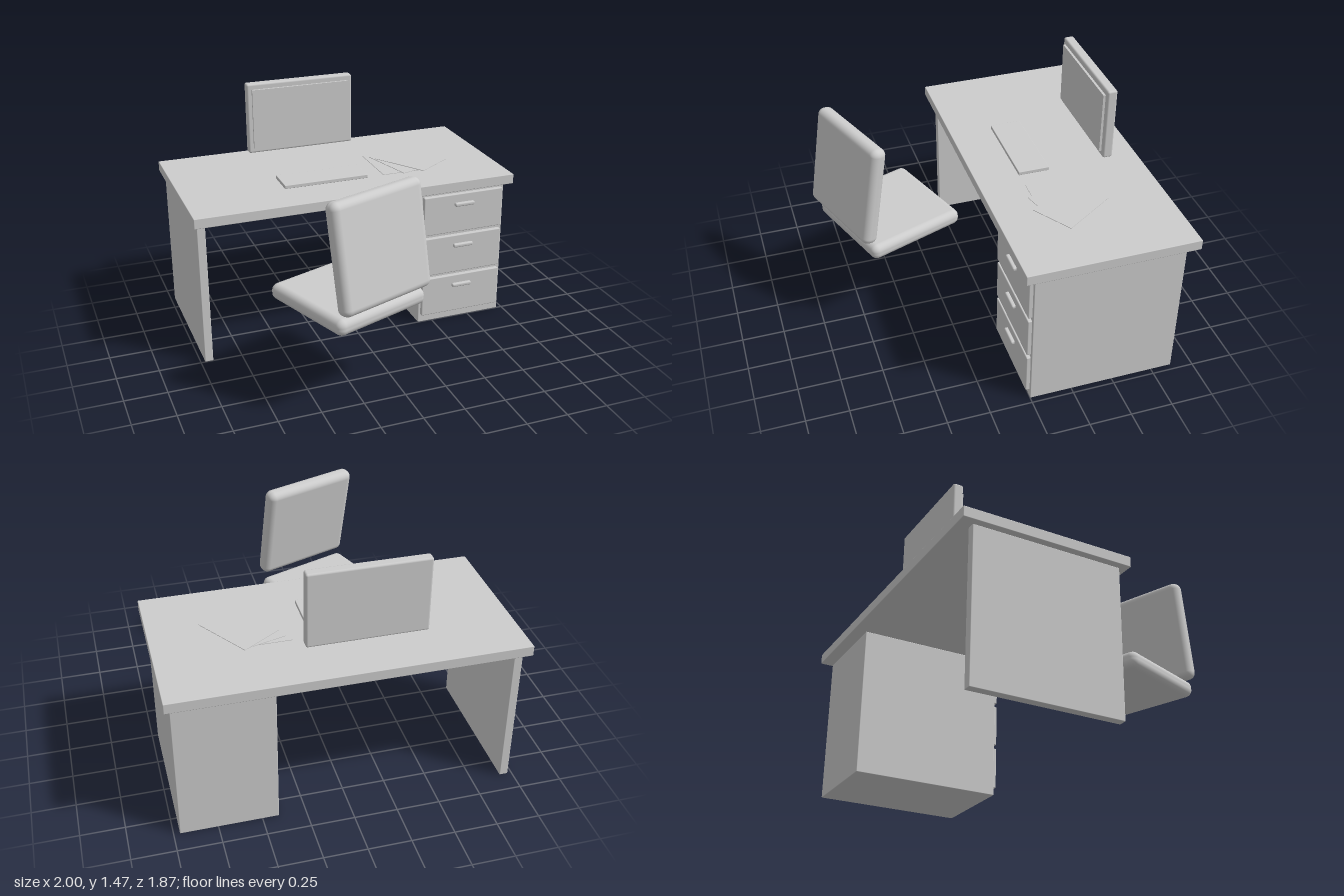
import * as THREE from 'three';
import { RoundedBoxGeometry } from 'three/addons/geometries/RoundedBoxGeometry.js';

export function createModel() {
  const model = new THREE.Group();
  model.name = 'deskSet';
  const grey = new THREE.MeshStandardMaterial({ color: 0xcccccc });
  grey.name = 'plain grey';

  // Box given by its minimum and maximum on each axis; r rounds the edges.
  function slab(name, [x0, x1], [y0, y1], [z0, z1], r = 0, parent = model) {
    const size = [x1 - x0, y1 - y0, z1 - z0];
    const geometry = r ? new RoundedBoxGeometry(...size, 3, r) : new THREE.BoxGeometry(...size);
    const mesh = new THREE.Mesh(geometry, grey);
    mesh.name = name;
    mesh.position.set((x0 + x1) / 2, (y0 + y1) / 2, (z0 + z1) / 2);
    parent.add(mesh);
    return mesh;
  }

  // Desk
  const desk = new THREE.Group();
  desk.name = 'desk';
  model.add(desk);
  slab('deskTop', [-1, 1], [0.888, 0.95], [-0.942, 0.059], 0.004, desk);
  slab('sidePanel', [-0.975, -0.925], [0, 0.878], [-0.876, 0], 0.004, desk);
  slab('cabinet', [0.405, 0.965], [0, 0.878], [-0.876, 0], 0.004, desk);
  for (let i = 0; i < 3; i++) {
    const y = 0.053 + i * 0.275;
    slab('drawerFront', [0.42, 0.948], [y, y + 0.252], [-0.01, 0.024], 0.006, desk);
    slab('drawerHandle', [0.62, 0.75], [y + 0.175, y + 0.199], [0.02, 0.046], 0.009, desk);
  }

  // Monitor
  const monitor = new THREE.Group();
  monitor.name = 'monitor';
  model.add(monitor);
  slab('monitorCase', [-0.47, 0.214], [1.02, 1.465], [-0.747, -0.687], 0.012, monitor);
  slab('screen', [-0.44, 0.184], [1.054, 1.43], [-0.7, -0.673], 0, monitor);

  // Keyboard
  slab('keyboard', [-0.39, 0.137], [0.95, 0.972], [-0.385, -0.198], 0.003);

  // Fanned sheets of paper
  [[0.37, 0], [0.442, 15.5], [0.5, 33]].forEach(([x, turn], i) => {
    const y = 0.954 + i * 0.004;
    const sheet = slab('paperSheet', [x - 0.13, x + 0.13], [y, y + 0.003], [-0.56, -0.199]);
    sheet.rotation.y = THREE.MathUtils.degToRad(turn);
  });

  // Chair cushions, turned towards the desk
  function cushion(name, size, position, tilt) {
    const mesh = new THREE.Mesh(new RoundedBoxGeometry(...size, 6, 0.042), grey);
    mesh.name = name;
    mesh.position.set(...position);
    mesh.rotation.set(THREE.MathUtils.degToRad(tilt), THREE.MathUtils.degToRad(20), 0, 'YXZ');
    model.add(mesh);
  }
  cushion('chairSeat', [0.622, 0.097, 0.622], [-0.253, 0.567, 0.497], 0);
  cushion('chairBack', [0.618, 0.618, 0.097], [-0.165, 0.953, 0.75], -10);

  return model;
}
